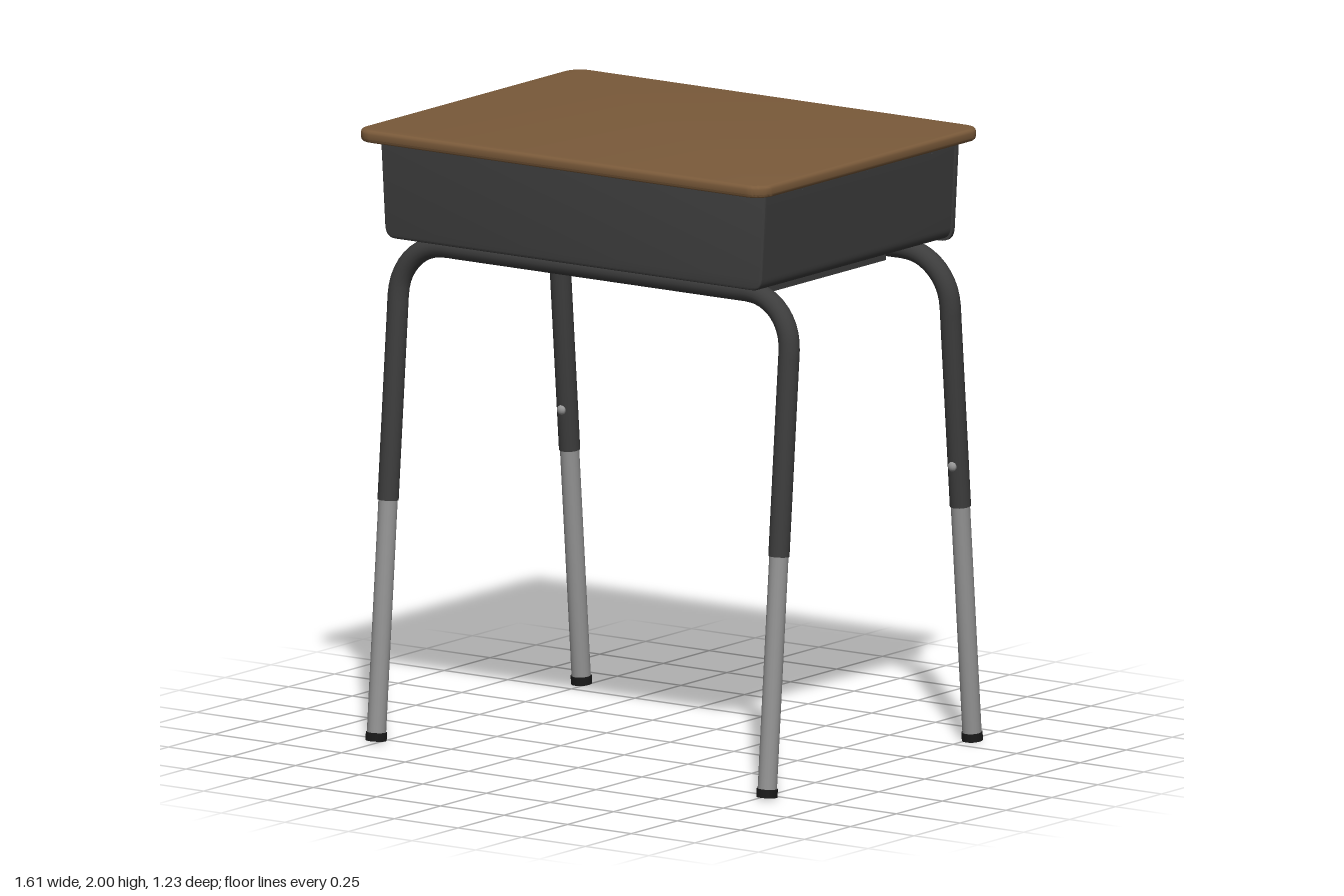
import * as THREE from 'three';
import { toCreasedNormals } from 'three/addons/utils/BufferGeometryUtils.js';

const mat = (name, color) => new THREE.MeshStandardMaterial({ name, color });

export function createModel() {
  const wood = mat('brown wood', 0x7a5a3a);
  const dark = mat('dark grey metal', 0x3d3d3d);
  const steel = mat('light grey steel', 0x959595);
  const black = mat('black rubber', 0x1a1a1a);
  const desk = new THREE.Group();
  desk.name = 'desk';

  const add = (name, geometry, material, x = 0, y = 0, z = 0) => {
    const mesh = new THREE.Mesh(geometry, material);
    mesh.name = name;
    mesh.position.set(x, y, z);
    desk.add(mesh);
    return mesh;
  };
  const box = (name, w, h, d, x, y, z, material = dark) =>
    add(name, new THREE.BoxGeometry(w, h, d), material, x, y, z);
  const extrude = (shape, depth, bevel = 0) => toCreasedNormals(new THREE.ExtrudeGeometry(shape, {
    depth, curveSegments: 8, bevelEnabled: bevel > 0, bevelSize: bevel,
    bevelThickness: bevel, bevelOffset: -bevel, bevelSegments: 3,
  }), 0.6);

  // Desktop: rounded rectangle with a softened edge
  const w = 0.803, d = 0.605, r = 0.065;
  const top = new THREE.Shape();
  top.moveTo(-w + r, -d);
  top.absarc(w - r, -d + r, r, -Math.PI / 2, 0);
  top.absarc(w - r, d - r, r, 0, Math.PI / 2);
  top.absarc(-w + r, d - r, r, Math.PI / 2, Math.PI);
  top.absarc(-w + r, -d + r, r, Math.PI, Math.PI * 1.5);
  const topGeo = extrude(top, 0.016, 0.012);
  topGeo.rotateX(-Math.PI / 2);
  add('desktop', topGeo, wood, 0, 1.972, 0.01);

  // Book box: tapered U section, open at the back and under the desktop
  const outline = (inset) => {
    const t = 0.757 - inset, b = 0.739 - inset, y = 1.64 + inset, c = 0.04 - inset;
    const s = new THREE.Shape();
    s.moveTo(-t, 1.96);
    s.lineTo(-b - 0.002, y + c);
    s.quadraticCurveTo(-b, y, -b + c, y);
    s.lineTo(b - c, y);
    s.quadraticCurveTo(b, y, b + 0.002, y + c);
    s.lineTo(t, 1.96);
    return s;
  };
  const uShape = (outer, inner) => new THREE.Shape(
    [...outline(outer).getPoints(8), ...outline(inner).getPoints(8).reverse()]);
  add('bookBox', extrude(uShape(0, 0.01), 1.02), dark, 0, 0, -0.5);
  add('bookBoxRim', extrude(uShape(-0.008, 0.014), 0.012), dark, 0, 0, -0.511);
  add('bookBoxFront', extrude(outline(0), 0.004, 0.008), dark, 0, 0, 0.518);

  // Mounting flanges and screws under the desktop
  box('frontFlange', 1.5, 0.007, 0.03, 0, 1.956, 0.54);
  for (const x of [-0.48, -0.16, 0.16, 0.48]) {
    add('flangeScrew', new THREE.SphereGeometry(0.008, 10, 6), steel, x, 1.952, 0.545).scale.y = 0.5;
  }
  for (const s of [-1, 1]) {
    box('sideFlange', 0.032, 0.007, 0.94, s * 0.766, 1.956, 0);
    for (const z of [-0.35, 0, 0.35]) {
      add('flangeScrew', new THREE.SphereGeometry(0.008, 10, 6), steel, s * 0.77, 1.952, z).scale.y = 0.5;
    }
    // Support rails between the two leg frames
    box('supportRail', 0.045, 0.075, 0.79, s * 0.525, 1.602, -0.02);
    box('supportRailFlange', 0.05, 0.008, 0.76, s * 0.48, 1.637, -0.02);
    for (const z of [-0.25, -0.02, 0.21]) {
      add('railScrew', new THREE.SphereGeometry(0.01, 10, 6), steel, s * 0.475, 1.632, z).scale.y = 0.5;
    }
  }

  // Leg frames: bent upper tube, telescoping lower tubes, feet and adjusters
  const barY = 1.605, legX = 0.768, bend = 0.17, slope = 0.0845;
  for (const side of [1, -1]) {
    const name = side > 0 ? 'front' : 'back';
    const zTop = side > 0 ? 0.402 : -0.445;
    const at = (x, y) => new THREE.Vector3(x, y, zTop + side * (barY - y) * slope);
    const half = [at(legX, 0.775), at(legX, 1.1), at(legX, barY - bend - 0.04)];
    for (let i = 0; i <= 6; i++) {
      const a = (i / 6) * Math.PI / 2;
      half.push(at(legX - bend + bend * Math.cos(a), barY - bend + bend * Math.sin(a)));
    }
    half.push(at(legX - bend - 0.04, barY), at(0.25, barY));
    const mirrored = half.map((p) => new THREE.Vector3(-p.x, p.y, p.z)).reverse();
    const path = new THREE.CatmullRomCurve3([...half, ...mirrored], false, 'centripetal');
    add(name + 'LegFrame', new THREE.TubeGeometry(path, 120, 0.034, 18), dark);

    const rod = (part, x, y0, y1, radius, material) => {
      const a = at(x, y0), b = at(x, y1), axis = b.clone().sub(a);
      const mesh = add(part, new THREE.CylinderGeometry(radius, radius, axis.length(), 18), material);
      mesh.position.copy(a).add(b).multiplyScalar(0.5);
      mesh.quaternion.setFromUnitVectors(new THREE.Vector3(0, 1, 0), axis.normalize());
    };
    for (const x of [-legX, legX]) {
      rod(name + 'LowerLeg', x, 0.028, 0.85, 0.031, steel);
      rod(name + 'Foot', x, 0.003, 0.03, 0.034, black);
      const p = at(x, 0.91);
      add(name + 'HeightScrew', new THREE.SphereGeometry(0.016, 12, 8), steel,
        p.x, p.y, p.z - side * 0.033).scale.z = 0.75;
    }
  }
  return desk;
}
